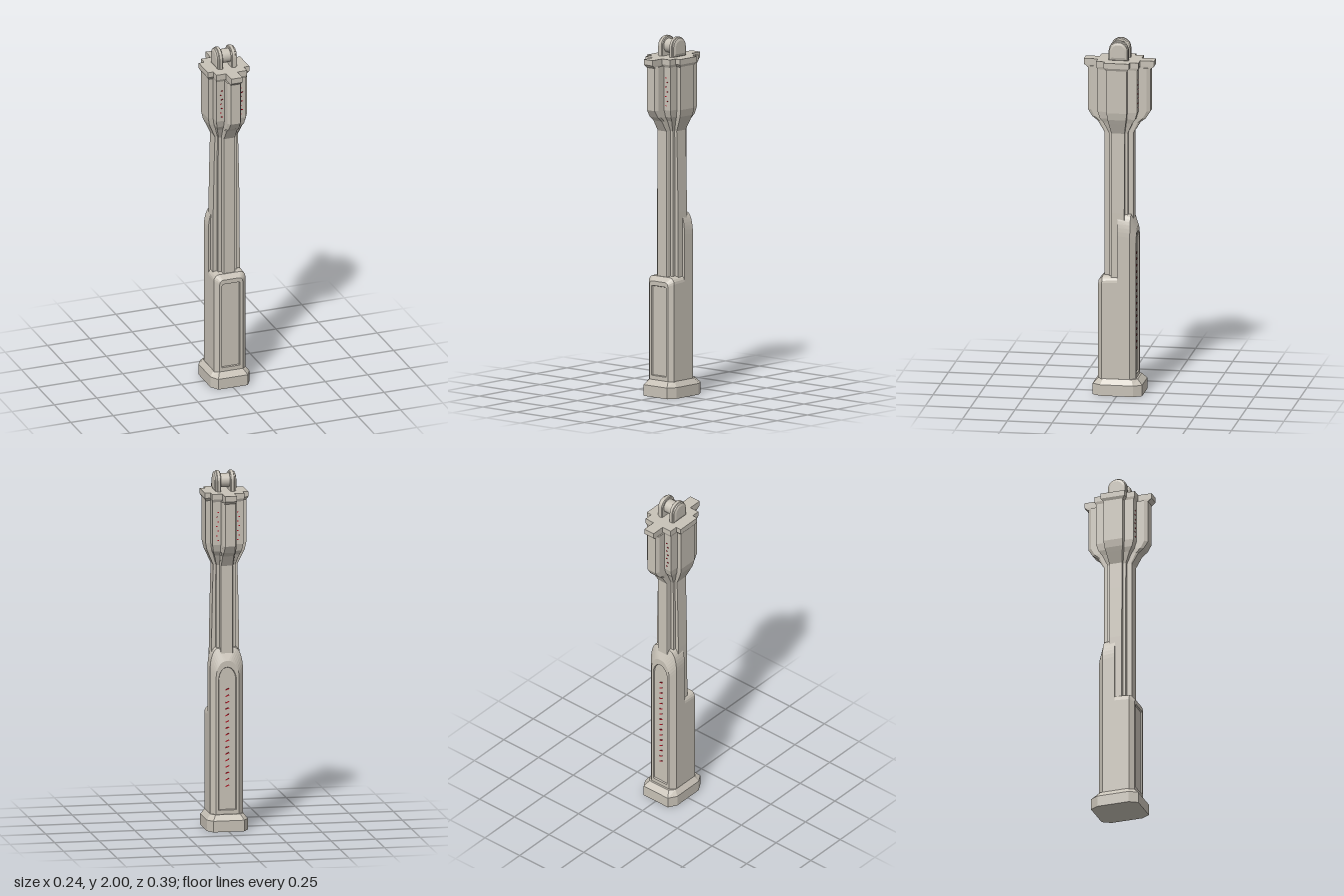
import * as THREE from 'three';

// Solid through matching counter-clockwise outlines stacked along z: [[z, points], ...]
function loft(rings) {
  const pos = [];
  const put = (r, i) => pos.push(r[1][i][0], r[1][i][1], r[0]);
  const n = rings[0][1].length;
  for (let k = 0; k < rings.length - 1; k++) {
    const a = rings[k], b = rings[k + 1];
    for (let i = 0; i < n; i++) {
      const j = (i + 1) % n;
      put(a, i); put(a, j); put(b, j);
      put(a, i); put(b, j); put(b, i);
    }
  }
  const cap = (r, flip) => {
    const tris = THREE.ShapeUtils.triangulateShape(r[1].map(p => new THREE.Vector2(p[0], p[1])), []);
    for (const [a, b, c] of tris) (flip ? [a, c, b] : [a, b, c]).forEach(i => put(r, i));
  };
  cap(rings[0], true);
  cap(rings[rings.length - 1], false);
  const g = new THREE.BufferGeometry();
  g.setAttribute('position', new THREE.Float32BufferAttribute(pos, 3));
  g.computeVertexNormals();
  return g;
}

// Mirror a first-quadrant outline (from the x side to the y side) into a closed one
function mirror4(q) {
  const r = [...q].reverse();
  return [
    ...q,
    ...r.map(([x, y]) => [-x, y]),
    ...q.map(([x, y]) => [-x, -y]),
    ...r.map(([x, y]) => [x, -y]),
  ];
}

// Stepped cross: side fins (sx, sz), core (bx, bz), front and back fins (fx, fz) with cut corners
const cross = (sx, sz, bx, bz, fx, fz, cut) => mirror4([
  [sx, sz], [bx, sz], [bx, bz], [fx, bz], [fx, fz - cut], [fx - cut * 0.6, fz],
]);

// Upright panel with square bottom and rounded top corners
function panel(w, y0, y1, rx, ry, steps) {
  const pts = [[-w, y0], [w, y0]];
  for (const s of [1, -1]) {
    for (let i = 0; i <= steps; i++) {
      const t = (s > 0 ? i : steps - i) / steps * Math.PI / 2;
      pts.push([s * (w - rx + rx * Math.cos(t)), y1 - ry + ry * Math.sin(t)]);
    }
  }
  return pts;
}

function material(name, color) {
  const m = new THREE.MeshStandardMaterial({ color });
  m.name = name;
  return m;
}

export function createModel() {
  const model = new THREE.Group();
  const grey = material('warm grey', 0xc8c2b7);
  const red = material('red', 0xb01020);
  const add = (name, geo, mat = grey) => {
    const m = new THREE.Mesh(geo, mat);
    m.name = name;
    model.add(m);
    return m;
  };
  const upright = rings => loft(rings).rotateX(-Math.PI / 2);

  // Foot with cut corners and a sloping shoulder
  const foot = (x, z, cx, cz) => mirror4([[x, z - cz], [x - cx, z]]);
  add('foot', upright([
    [0, foot(0.115, 0.138, 0.028, 0.047)],
    [0.062, foot(0.115, 0.138, 0.028, 0.047)],
    [0.092, foot(0.093, 0.11, 0.024, 0.03)],
  ]));

  // Finned shaft flaring into the head
  add('shaftAndHead', upright([
    [0.08, cross(0.08, 0.037, 0.055, 0.053, 0.036, 0.082, 0.006)],
    [1.03, cross(0.078, 0.037, 0.055, 0.053, 0.036, 0.082, 0.006)],
    [1.33, cross(0.072, 0.037, 0.055, 0.053, 0.036, 0.082, 0.006)],
    [1.48, cross(0.068, 0.037, 0.053, 0.053, 0.036, 0.082, 0.006)],
    [1.54, cross(0.095, 0.047, 0.07, 0.08, 0.038, 0.118, 0.012)],
    [1.565, cross(0.106, 0.052, 0.08, 0.098, 0.04, 0.15, 0.016)],
    [1.605, cross(0.114, 0.056, 0.086, 0.11, 0.04, 0.175, 0.02)],
    [1.85, cross(0.114, 0.056, 0.086, 0.11, 0.04, 0.175, 0.02)],
  ]));

  // Stepped cap plate
  add('cap', upright([
    [1.842, cross(0.112, 0.055, 0.085, 0.109, 0.032, 0.174, 0.001)],
    [1.86, cross(0.122, 0.07, 0.09, 0.118, 0.033, 0.196, 0.001)],
    [1.89, cross(0.122, 0.07, 0.09, 0.118, 0.033, 0.196, 0.001)],
  ]));

  // Short front cover with a recessed panel
  add('frontCover', loft([
    [0, panel(0.093, 0.08, 0.673, 0.03, 0.035, 4)],
    [0.086, panel(0.093, 0.08, 0.668, 0.03, 0.035, 4)],
    [0.11, panel(0.068, 0.08, 0.642, 0.02, 0.022, 4)],
    [0.11, panel(0.053, 0.115, 0.617, 0.008, 0.008, 4)],
    [0.102, panel(0.05, 0.118, 0.614, 0.008, 0.008, 4)],
  ]));

  // Tall arched back cover with a recessed arched panel
  add('backCover', loft([
    [0, panel(0.092, 0.08, 1.025, 0.038, 0.12, 8)],
    [0.07, panel(0.092, 0.08, 1.017, 0.045, 0.12, 8)],
    [0.1, panel(0.064, 0.08, 0.95, 0.058, 0.09, 8)],
    [0.1, panel(0.05, 0.115, 0.915, 0.048, 0.075, 8)],
    [0.092, panel(0.047, 0.118, 0.912, 0.045, 0.073, 8)],
  ]).rotateY(Math.PI));

  // Column of slanted red dashes on the back panel
  for (let i = 0; i < 16; i++) {
    const dash = add('backDash', new THREE.BoxGeometry(0.022, 0.006, 0.004), red);
    dash.position.set(0, 0.25 + i * 0.036, -0.092);
    dash.rotation.z = -0.4;
  }

  // Fine red ticks on the core faces of the head, front and back
  for (const sx of [1, -1]) {
    for (const sz of [1, -1]) {
      for (let i = 0; i < 7; i++) {
        const tick = add('headTick', new THREE.BoxGeometry(0.009, 0.005, 0.004), red);
        tick.position.set(sx * (0.055 + (i % 2) * 0.008), 1.63 + i * 0.026, sz * 0.11);
      }
    }
  }

  // Pair of rounded lugs carrying the cross pin
  for (const s of [1, -1]) {
    const lug = loft([
      [0.026, panel(0.05, 1.885, 1.995, 0.048, 0.053, 8)],
      [0.03, panel(0.055, 1.885, 2, 0.053, 0.055, 8)],
      [0.046, panel(0.055, 1.885, 2, 0.053, 0.055, 8)],
      [0.049, panel(0.05, 1.89, 1.995, 0.048, 0.05, 8)],
      [0.057, panel(0.05, 1.893, 1.993, 0.048, 0.05, 8)],
      [0.062, panel(0.036, 1.908, 1.98, 0.034, 0.036, 8)],
    ]).rotateY(s * Math.PI / 2);
    add(s > 0 ? 'leftLug' : 'rightLug', lug);
  }
  const pin = add('crossPin', new THREE.CylinderGeometry(0.039, 0.039, 0.06, 24, 1, true).rotateZ(Math.PI / 2));
  pin.position.y = 1.945;

  return model;
}
